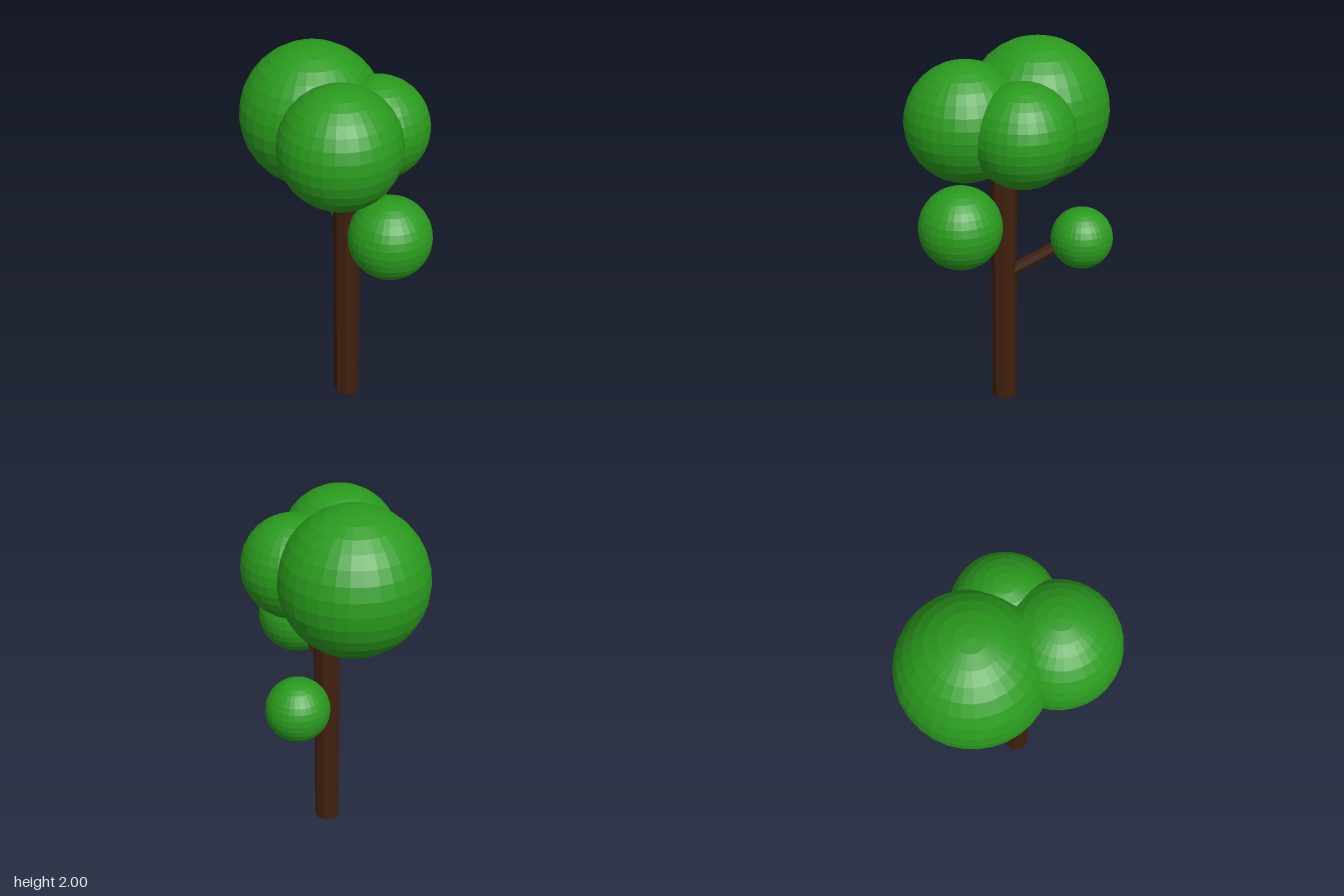
import * as THREE from 'three';

const leaf = new THREE.MeshStandardMaterial({ color: 0x2a9a1e, flatShading: true });
const bark = new THREE.MeshStandardMaterial({ color: 0x40200f, flatShading: true });

// Ball of leaves
function foliage(name, x, y, z, r) {
  const mesh = new THREE.Mesh(new THREE.SphereGeometry(r, 32, 16), leaf);
  mesh.name = name;
  mesh.position.set(x, y, z);
  return mesh;
}

// Straight round piece of wood between two points
function wood(name, from, to, r, sides) {
  const a = new THREE.Vector3(...from), b = new THREE.Vector3(...to);
  const dir = b.clone().sub(a);
  const mesh = new THREE.Mesh(new THREE.CylinderGeometry(r, r, dir.length(), sides), bark);
  mesh.name = name;
  mesh.position.copy(a).add(b).multiplyScalar(0.5);
  mesh.quaternion.setFromUnitVectors(new THREE.Vector3(0, 1, 0), dir.normalize());
  return mesh;
}

export function createModel() {
  const tree = new THREE.Group();
  tree.name = 'tree';
  tree.add(
    // Trunk and branches
    wood('trunk', [-0.015, 0, 0.05], [-0.015, 1.6, 0.05], 0.07, 8),
    wood('sideBranch', [0, 0.78, 0.04], [0.27, 1.0, -0.19], 0.034, 8),
    wood('frontBranch', [-0.015, 0.98, 0.05], [-0.015, 1.16, 0.31], 0.034, 8),
    // Crown
    foliage('backCrown', -0.015, 1.63, -0.215, 0.37),
    foliage('rightCrown', -0.16, 1.635, 0.17, 0.305),
    foliage('leftCrown', 0.148, 1.617, 0.095, 0.262),
    // Balls on the branches
    foliage('frontFoliage', -0.015, 1.175, 0.375, 0.21),
    foliage('sideFoliage', 0.297, 0.993, -0.21, 0.163)
  );
  return tree;
}
